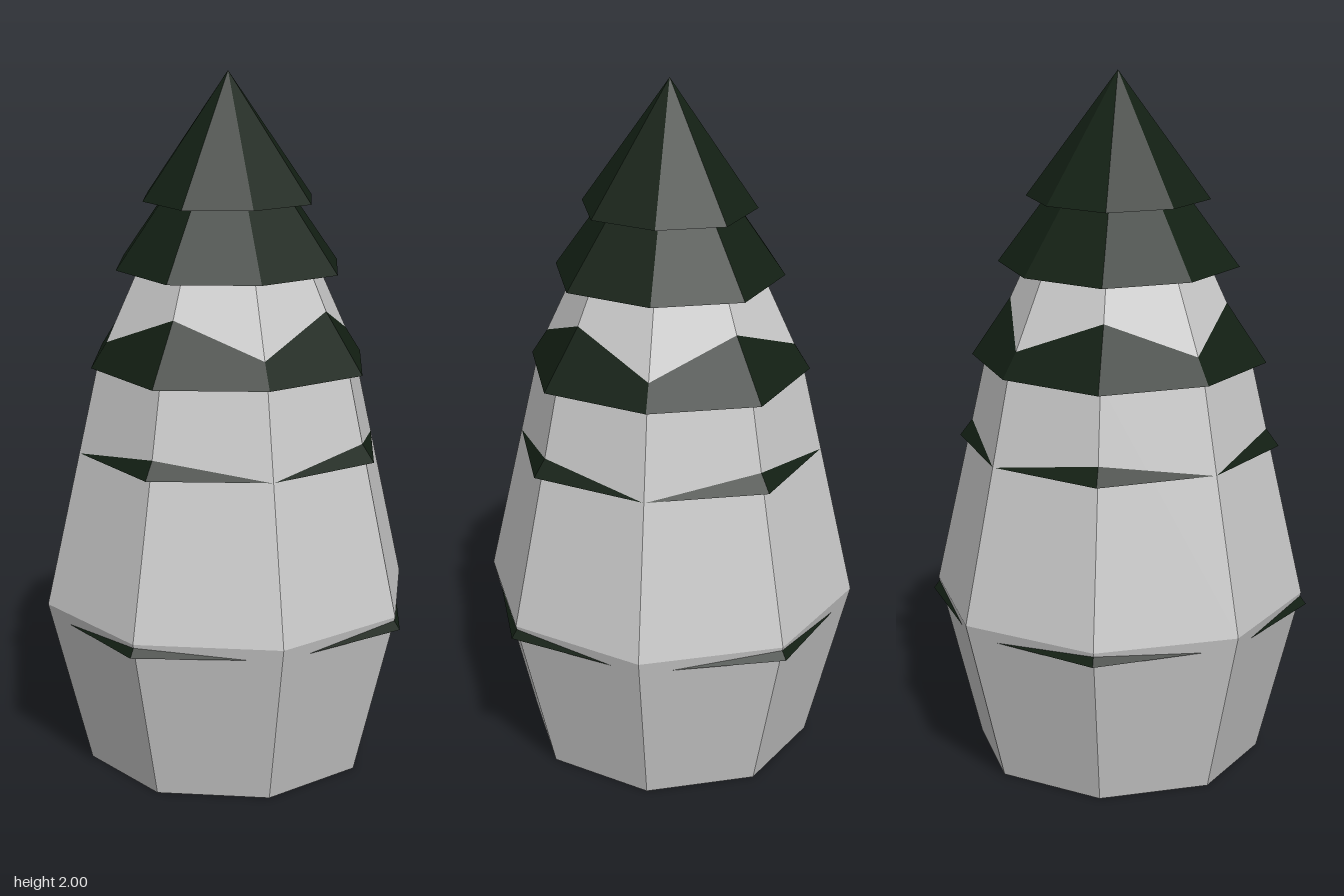
import * as THREE from 'three';

const SIDES = 8;

// Faceted eight-sided solid of revolution; every second corner can be pulled in.
function octagonSolid(profile, diagonal = 1) {
  const points = profile.map(([r, y]) => new THREE.Vector2(r, y));
  const lathe = new THREE.LatheGeometry(points, SIDES);
  const pos = lathe.attributes.position;
  const rows = points.length;
  for (let i = 0; i < pos.count; i++) {
    if (Math.floor(i / rows) % 2 === 1) {
      pos.setX(i, pos.getX(i) * diagonal);
      pos.setZ(i, pos.getZ(i) * diagonal);
    }
  }
  const geometry = lathe.toNonIndexed();
  geometry.computeVertexNormals();
  return geometry;
}

export function createModel() {
  const tree = new THREE.Group();
  tree.name = 'tree';
  const grey = new THREE.MeshStandardMaterial({ color: 0xcccccc, flatShading: true });
  const green = new THREE.MeshStandardMaterial({ color: 0x132014, flatShading: true });

  // Bulging body that tapers up inside the foliage
  const body = new THREE.Mesh(
    octagonSolid([[0, 0], [0.417, 0], [0.54, 0.49], [0.38, 1.2], [0.265, 1.45], [0, 1.88]]),
    grey
  );
  body.name = 'body';
  tree.add(body);

  // Foliage cones, bottom to top: [radius, base height, apex height]
  const layers = [
    [0.555, 0.455, 1.22],
    [0.465, 0.935, 1.57],
    [0.425, 1.18, 1.815],
    [0.345, 1.455, 1.92],
    [0.262, 1.645, 2.0],
  ];
  layers.forEach(([radius, base, apex], i) => {
    const cone = new THREE.Mesh(
      octagonSolid([[0, base], [radius, base], [0, apex]], 0.945),
      green
    );
    cone.name = `foliageLayer${i + 1}`;
    tree.add(cone);
  });

  return tree;
}
